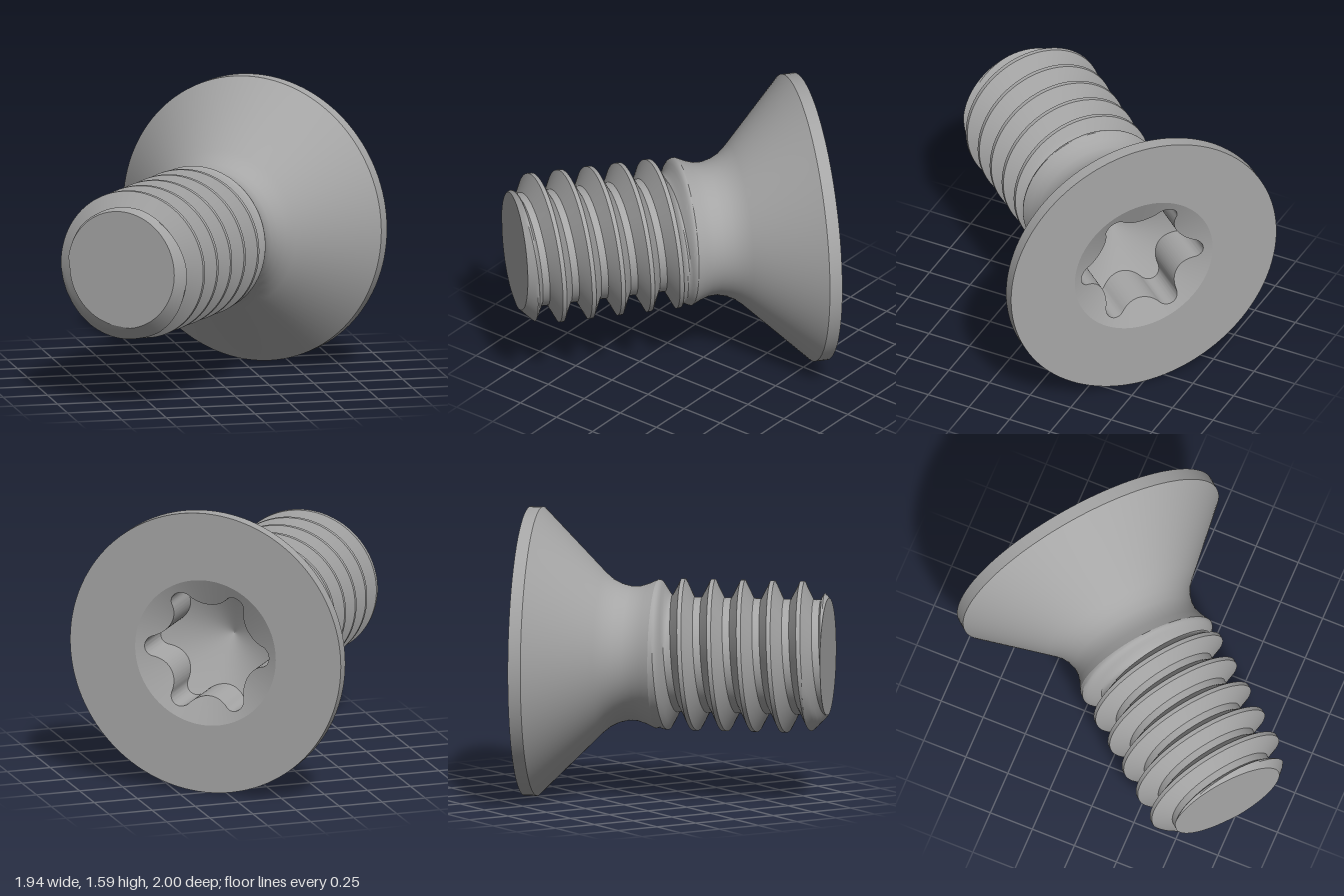
import * as THREE from 'three';
import { toCreasedNormals } from 'three/addons/utils/BufferGeometryUtils.js';

const TAU = Math.PI * 2;
const LENGTH = 1.666, PITCH = 0.165, NECK_END = 0.72;
const CREST = 0.417, DEPTH = 0.1, TIP_RADIUS = 0.327;

// Surface around the screw axis: at(row, angle) gives [radius, distance below the head face]
function sweep(rows, cols, at, crease = 0.5) {
  const pos = [], index = [];
  for (let i = 0; i < rows; i++) {
    for (let j = 0; j <= cols; j++) {
      const a = (j % cols) / cols * TAU;
      const [r, s] = at(i, j / cols * TAU);
      pos.push(r * Math.cos(a), -s, r * Math.sin(a));
    }
  }
  const p = k => new THREE.Vector3().fromArray(pos, k * 3);
  const add = (a, b, c) => {
    const area = p(b).sub(p(a)).cross(p(c).sub(p(a))).length();
    if (area > 1e-9) index.push(a, b, c);
  };
  for (let i = 0; i < rows - 1; i++) {
    for (let j = 0; j < cols; j++) {
      const a = i * (cols + 1) + j, b = a + cols + 1;
      add(a, a + 1, b);
      add(a + 1, b + 1, b);
    }
  }
  const g = new THREE.BufferGeometry();
  g.setAttribute('position', new THREE.Float32BufferAttribute(pos, 3));
  g.setIndex(index);
  return toCreasedNormals(g, crease);
}

// Six-lobed outline made of tangent arcs: round lobes and wider bulges between them
function lobeRadius(angle) {
  const sixth = TAU / 6;
  let a = ((angle % sixth) + sixth) % sixth;
  if (a > sixth / 2) a = sixth - a;
  const lobe = 0.06, lobeC = 0.305, bulge = 0.154, bulgeC = 0.414;
  if (a < 0.18) return lobeC * Math.cos(a) + Math.sqrt(lobe ** 2 - (lobeC * Math.sin(a)) ** 2);
  const b = sixth / 2 - a;
  return bulgeC * Math.cos(b) - Math.sqrt(Math.max(0, bulge ** 2 - (bulgeC * Math.sin(b)) ** 2));
}

// Thread radius at a distance along the axis and an angle, with run-in and tip chamfer
function threadRadius(s, angle) {
  let f = (s - 0.82) / PITCH - angle / TAU;
  f = Math.abs(f - Math.round(f));
  const cut = THREE.MathUtils.clamp((f - 0.07) / 0.31, 0, 1);
  const runIn = THREE.MathUtils.smoothstep(s, NECK_END, NECK_END + 0.09);
  return Math.min(CREST - 0.007 * (1 - runIn) - DEPTH * cut * runIn, TIP_RADIUS + LENGTH - s);
}

export function createModel() {
  const model = new THREE.Group();
  const steel = new THREE.MeshStandardMaterial({ color: 0xa6a6a6 });
  steel.name = 'grey steel';
  const screw = new THREE.Group();
  screw.name = 'countersunkScrew';
  const part = (name, geometry) => {
    const mesh = new THREE.Mesh(geometry, steel);
    mesh.name = name;
    screw.add(mesh);
  };

  // Socket: conical floor, lobed wall and shallow countersink up to the face
  const rim = 0.413;
  const floorDepth = r => 0.27 + 0.5 * (0.365 - r);
  part('driveSocketFloor', sweep(2, 360, (i, a) => {
    const r = i * lobeRadius(a);
    return [r, floorDepth(r)];
  }));
  part('driveSocketWall', sweep(2, 360, (i, a) => {
    const r = lobeRadius(a);
    return [r, i ? 0.4 * (rim - r) : floorDepth(r)];
  }));
  part('driveSocketCountersink', sweep(2, 360, (i, a) => {
    const r = i ? rim : lobeRadius(a);
    return [r, 0.4 * (rim - r)];
  }));

  // Head: flat face, thin rim, cone and curved neck
  const profile = [
    [rim, 0], [0.795, 0], [0.795, 0.07], [0.445, 0.42], [0.408, 0.465], [0.383, 0.515],
    [0.369, 0.57], [0.371, 0.62], [0.387, 0.67], [0.41, NECK_END],
  ];
  part('head', sweep(profile.length, 120, i => profile[i]));

  // Thread: rows follow the helix so that crests and roots stay crisp
  const edges = [-0.07, 0.07, 0.38, 0.62, 0.93], steps = 5, offsets = [];
  for (let k = -2; k <= 6; k++) {
    for (let e = 0; e < 4; e++) {
      for (let n = 0; n < steps; n++) {
        offsets.push(k + THREE.MathUtils.lerp(edges[e], edges[e + 1], n / steps));
      }
    }
  }
  part('threadedShank', sweep(offsets.length, 120, (i, a) => {
    const s = THREE.MathUtils.clamp(0.82 + PITCH * (offsets[i] + a / TAU), NECK_END, LENGTH);
    return [threadRadius(s, a), s];
  }));

  // Flat end of the shank
  part('tip', sweep(2, 120, (i, a) => [i ? 0 : threadRadius(LENGTH, a), LENGTH]));

  // Lay the axis level, with the tip towards the front right
  const x = new THREE.Vector3(0.771, 0, 0.637).normalize();
  const y = new THREE.Vector3(0.637, 0, -0.771).normalize();
  screw.quaternion.setFromRotationMatrix(
    new THREE.Matrix4().makeBasis(x, y, new THREE.Vector3(0, 1, 0)));
  screw.position.set(0.355, 0.795, -0.5);
  model.add(screw);
  return model;
}
